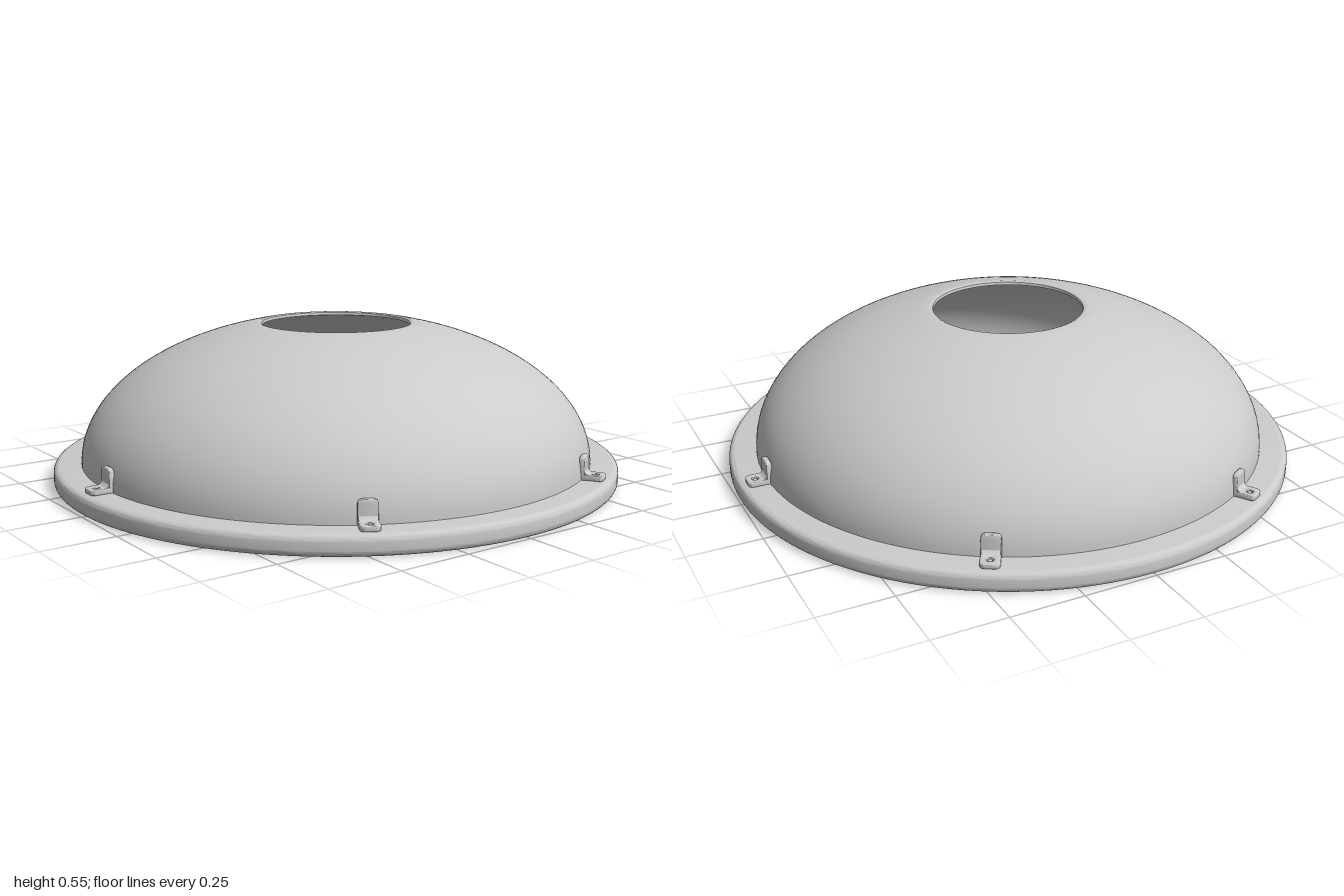
import * as THREE from 'three';
import { toCreasedNormals } from 'three/addons/utils/BufferGeometryUtils.js';

const BASE_TOP = 0.07;
const material = new THREE.MeshStandardMaterial({ color: 0xcccccc });

function part(name, geometry) {
  const mesh = new THREE.Mesh(toCreasedNormals(geometry, 0.6), material);
  mesh.name = name;
  return mesh;
}

// Solid disc with rounded rim
function createBase() {
  const r = 0.022, points = [new THREE.Vector2(0, 0)];
  for (const [cy, start] of [[r, -Math.PI / 2], [BASE_TOP - r, 0]]) {
    for (let i = 0; i <= 6; i++) {
      const a = start + (i / 6) * Math.PI / 2;
      points.push(new THREE.Vector2(1 - r + r * Math.cos(a), cy + r * Math.sin(a)));
    }
  }
  points.push(new THREE.Vector2(0, BASE_TOP));
  return part('base', new THREE.LatheGeometry(points, 128));
}

// Thin elliptical shell, open at the top
function createDome() {
  const points = [], steps = 32, hole = 0.262;
  const arc = (a, b, rTop, up) => {
    const end = Math.acos(rTop / a);
    for (let i = 0; i <= steps; i++) {
      const t = end * (up ? i : steps - i) / steps;
      points.push(new THREE.Vector2(a * Math.cos(t), BASE_TOP + b * Math.sin(t)));
    }
  };
  arc(0.904, 0.499, 0.28, true);
  points.push(new THREE.Vector2(0.271, 0.545), new THREE.Vector2(0.264, 0.542));
  arc(0.889, 0.484, hole, false);
  return part('dome', new THREE.LatheGeometry(points, 128));
}

// Flat plate with two rounded corners at its far end and an optional hole
function plate(width, length, depth, holeAt) {
  const h = width / 2, c = 0.016, bevel = 0.003;
  const w = h - bevel, l = length - bevel;
  const shape = new THREE.Shape();
  shape.moveTo(-w, 0).lineTo(w, 0).lineTo(w, l - c);
  shape.quadraticCurveTo(w, l, w - c, l).lineTo(-w + c, l);
  shape.quadraticCurveTo(-w, l, -w, l - c).lineTo(-w, 0);
  if (holeAt) shape.holes.push(new THREE.Path().absarc(0, holeAt, 0.015, 0, Math.PI * 2, true));
  return new THREE.ExtrudeGeometry(shape, {
    depth: depth - 2 * bevel, bevelSize: bevel, bevelThickness: bevel, bevelSegments: 3, curveSegments: 8,
  }).translate(0, 0, bevel);
}

// L-shaped clip; local z points away from the dome's axis
function createBracket() {
  const group = new THREE.Group();
  group.name = 'bracket';
  const width = 0.064, thick = 0.018, inner = 0.895;

  const leg = part('bracketLeg', plate(width, 0.08, thick));
  leg.position.set(0, BASE_TOP, inner);

  const foot = part('bracketFoot', plate(width, 0.08, thick, 0.051).rotateX(Math.PI / 2));
  foot.position.set(0, BASE_TOP + thick, inner);

  // Curved inside of the bend
  const f = 0.012, profile = new THREE.Shape();
  profile.moveTo(0, 0).lineTo(f, 0).quadraticCurveTo(0, 0, 0, f);
  profile.curves[1] = new THREE.QuadraticBezierCurve(
    new THREE.Vector2(f, 0), new THREE.Vector2(f * 0.2, f * 0.2), new THREE.Vector2(0, f));
  const bendGeometry = new THREE.ExtrudeGeometry(profile, { depth: width - 0.006, bevelEnabled: false, curveSegments: 6 });
  const bend = part('bracketBend', bendGeometry.translate(0, 0, -width / 2 + 0.003).rotateY(-Math.PI / 2));
  bend.position.set(0, BASE_TOP + thick, inner + thick);

  // Pin seated in the foot's hole
  const pin = part('bracketPin', new THREE.CylinderGeometry(0.007, 0.007, 0.014, 16));
  pin.position.set(0, BASE_TOP + 0.007, inner + 0.051);

  group.add(leg, foot, bend, pin);
  return group;
}

export function createModel() {
  const model = new THREE.Group();
  model.name = 'domeOnBase';
  model.add(createBase(), createDome());
  // Six clips around the rim
  for (let i = 0; i < 6; i++) {
    const bracket = createBracket();
    bracket.rotation.y = Math.PI / 2 + (i * Math.PI) / 3;
    model.add(bracket);
  }
  return model;
}
